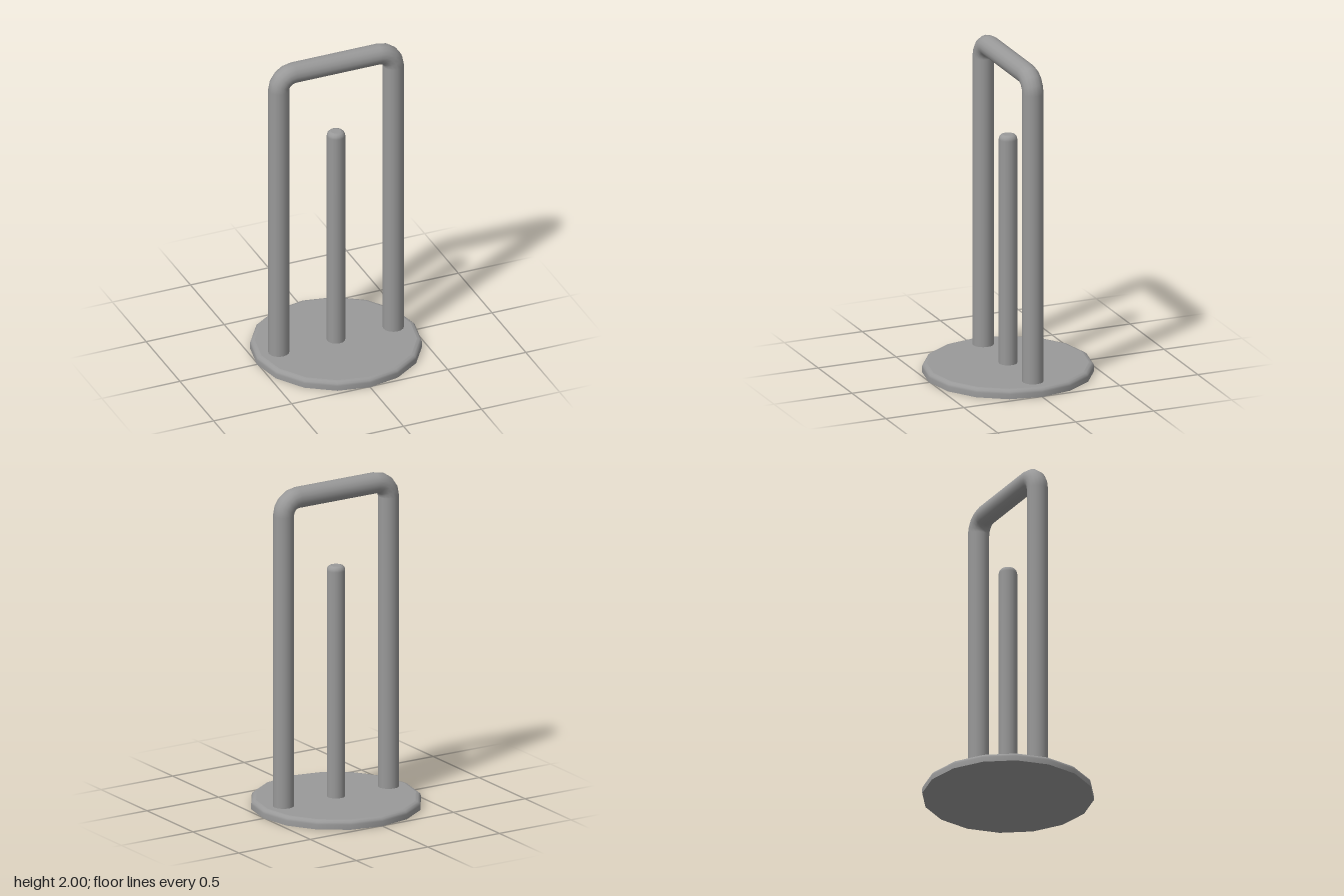
import * as THREE from 'three';

const SIDES = 16;

export function createModel() {
  const group = new THREE.Group();
  const metal = new THREE.MeshStandardMaterial({ color: 0x999999 });
  metal.name = 'grey metal';

  function add(name, geometry, parent, x = 0, y = 0, z = 0) {
    const mesh = new THREE.Mesh(geometry, metal);
    mesh.name = name;
    mesh.position.set(x, y, z);
    parent.add(mesh);
    return mesh;
  }

  // upright round with softly bevelled top edge and flat caps
  function bevelledRound(name, radius, bottom, top, bevelX, bevelY) {
    const part = new THREE.Group();
    part.name = name;
    const profile = [new THREE.Vector2(radius, bottom)];
    for (let i = 0; i <= 3; i++) {
      const a = (i / 3) * Math.PI / 2;
      profile.push(new THREE.Vector2(
        radius - bevelX * (1 - Math.cos(a)),
        top - bevelY * (1 - Math.sin(a))));
    }
    add(name + 'Side', new THREE.LatheGeometry(profile, SIDES), part);
    const cap = (r) => new THREE.CircleGeometry(r, SIDES);
    add(name + 'Top', cap(radius - bevelX).rotateX(-Math.PI / 2), part, 0, top);
    add(name + 'Bottom', cap(radius).rotateX(Math.PI / 2), part, 0, bottom);
    group.add(part);
  }

  bevelledRound('base', 0.507, 0, 0.055, 0.03, 0.025);
  bevelledRound('centrePost', 0.055, 0.04, 1.475, 0.025, 0.03);

  // bent tube frame: two legs, two quarter bends, one top bar
  const frame = new THREE.Group();
  frame.name = 'frame';
  group.add(frame);
  const r = 0.063, bend = 0.095, legX = 0.367, barY = 1.937;
  const bendX = legX - bend, bendY = barY - bend, foot = 0.04;
  const tube = (length) => new THREE.CylinderGeometry(r, r, length, SIDES, 1, true);

  for (const side of [-1, 1]) {
    const label = side > 0 ? 'left' : 'right';
    add(label + 'Leg', tube(bendY - foot), frame, side * legX, (bendY + foot) / 2);
    const corner = new THREE.TorusGeometry(bend, r, SIDES, 4, Math.PI / 2);
    if (side < 0) corner.rotateZ(Math.PI / 2);
    add(label + 'Bend', corner, frame, side * bendX, bendY);
  }
  add('topBar', tube(bendX * 2).rotateZ(Math.PI / 2), frame, 0, barY);

  return group;
}
